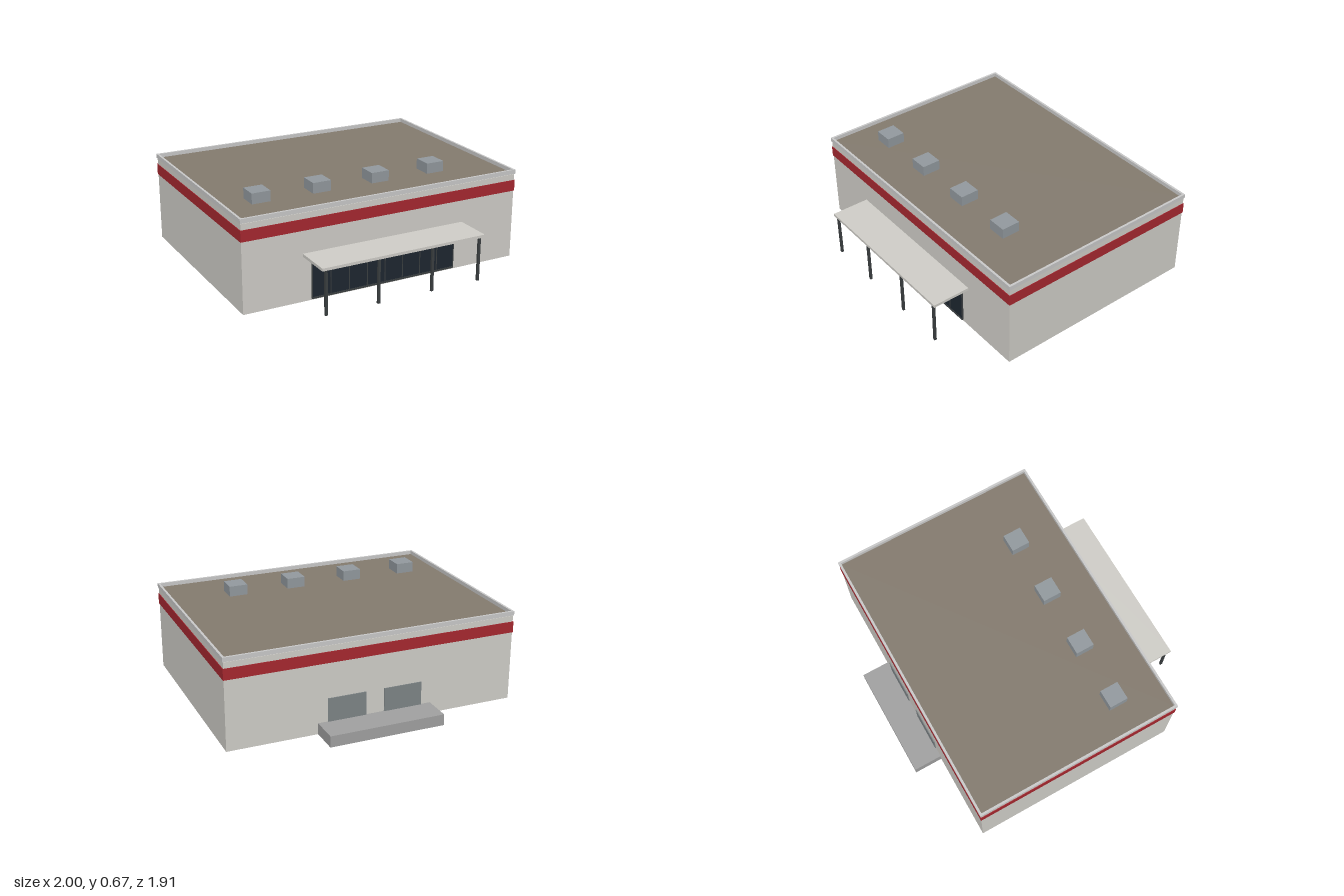
import * as THREE from 'three';

const mat = (color) => new THREE.MeshStandardMaterial({ color });
const wallMat = mat(0xd2d0ca), redMat = mat(0xa82830), capMat = mat(0xc4c4c0);
const roofMat = mat(0x857c70), unitMat = mat(0x949ba0), darkMat = mat(0x3c4042);
const glassMat = mat(0x1e2730), dockMat = mat(0xa2a2a2), doorMat = mat(0x7f8688);

const BACK = -0.76, FRONT = 0.695;

// Box given by its extents on each axis
function box(name, material, [x0, x1], [y0, y1], [z0, z1]) {
  const mesh = new THREE.Mesh(new THREE.BoxGeometry(x1 - x0, y1 - y0, z1 - z0), material);
  mesh.position.set((x0 + x1) / 2, (y0 + y1) / 2, (z0 + z1) / 2);
  mesh.name = name;
  return mesh;
}

// Rectangular ring around the building, `out` beyond the walls and `t` wide
function ring(name, material, y0, y1, out, t) {
  const x = 0.995 + out, z0 = BACK - out, z1 = FRONT + out;
  const rect = (P, i) => new P([
    new THREE.Vector2(-x + i, -z1 + i), new THREE.Vector2(x - i, -z1 + i),
    new THREE.Vector2(x - i, -z0 - i), new THREE.Vector2(-x + i, -z0 - i),
  ]);
  const shape = rect(THREE.Shape, 0);
  shape.holes.push(rect(THREE.Path, t));
  const geo = new THREE.ExtrudeGeometry(shape, { depth: y1 - y0, bevelEnabled: false });
  geo.rotateX(-Math.PI / 2);
  const mesh = new THREE.Mesh(geo, material);
  mesh.position.y = y0;
  mesh.name = name;
  return mesh;
}

export function createModel() {
  const model = new THREE.Group();
  model.name = 'storeBuilding';

  // Main shell, roof, stripe and parapet
  model.add(
    box('walls', wallMat, [-0.995, 0.995], [0, 0.59], [BACK, FRONT]),
    box('roof', roofMat, [-0.99, 0.99], [0.59, 0.597], [BACK + 0.005, FRONT - 0.005]),
    ring('stripe', redMat, 0.475, 0.55, 0.004, 0.008),
    ring('parapetCap', capMat, 0.594, 0.623, 0.005, 0.015),
  );

  // Row of rooftop units
  for (const x of [-0.74, -0.316, 0.111, 0.535])
    model.add(box('roofUnit', unitMat, [x - 0.064, x + 0.064], [0.595, 0.668], [0.303, 0.432]));

  // Glazed shopfront with its frame
  const shopfront = new THREE.Group();
  shopfront.name = 'shopfront';
  const gx0 = -0.527, gx1 = 0.521, panels = 8;
  shopfront.add(
    box('glass', glassMat, [gx0, gx1], [0.01, 0.28], [FRONT - 0.01, FRONT + 0.006]),
    box('frameTop', darkMat, [gx0, gx1], [0.267, 0.283], [FRONT, FRONT + 0.01]),
    box('frameBottom', darkMat, [gx0, gx1], [0.008, 0.02], [FRONT, FRONT + 0.01]),
  );
  for (let i = 0; i <= panels; i++) {
    const x = gx0 + ((gx1 - gx0) * i) / panels;
    shopfront.add(box('mullion', darkMat, [x - 0.003, x + 0.003], [0.01, 0.28], [FRONT, FRONT + 0.009]));
  }
  model.add(shopfront);

  // Entrance canopy on four posts
  const canopy = new THREE.Group();
  canopy.name = 'canopy';
  canopy.add(box('canopySlab', wallMat, [-0.588, 0.584], [0.304, 0.323], [FRONT, 0.957]));
  for (const x of [-0.557, -0.19, 0.2, 0.553])
    canopy.add(box('canopyPost', darkMat, [x - 0.008, x + 0.008], [0.005, 0.305], [0.934, 0.95]));
  model.add(canopy);

  // Loading dock and its two doors at the back
  model.add(box('loadingDock', dockMat, [-0.398, 0.39], [0, 0.076], [-0.957, BACK]));
  for (const x of [-0.198, 0.192])
    model.add(box('dockDoor', doorMat, [x - 0.132, x + 0.132], [0.076, 0.236], [BACK - 0.006, BACK + 0.01]));

  return model;
}
